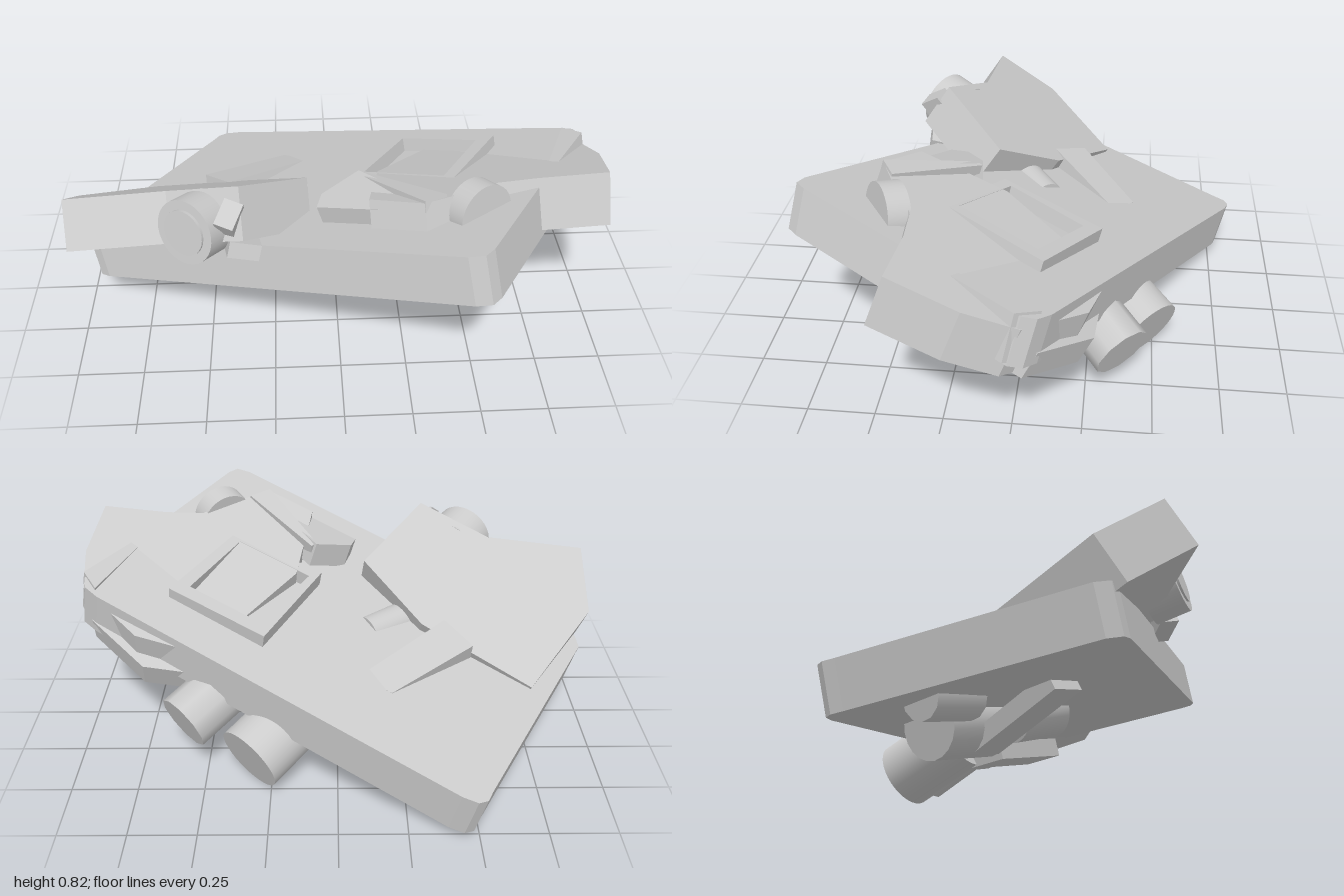
import * as THREE from 'three';

const material = new THREE.MeshStandardMaterial({ color: 0xcccccc, side: THREE.DoubleSide });
const slabNormal = new THREE.Vector3(-0.19, 1, -0.248).normalize();

export function createModel() {
  const model = new THREE.Group();

  const add = (name, geometry) => {
    const mesh = new THREE.Mesh(geometry, material);
    mesh.name = name;
    model.add(mesh);
    return mesh;
  };

  const trace = (path, points) => path.setFromPoints(points.map(([x, z]) => new THREE.Vector2(x, -z)));

  // Plate with an [x, z] outline, top on y = a*x + b*z + c, thickened along its normal
  function plate(name, outline, [a, b, c], thickness, hole) {
    const shape = trace(new THREE.Shape(), outline);
    if (hole) shape.holes.push(trace(new THREE.Path(), hole));
    const geometry = new THREE.ExtrudeGeometry(shape, { depth: thickness, bevelEnabled: false });
    geometry.rotateX(-Math.PI / 2);
    const normal = new THREE.Vector3(-a, 1, -b).normalize();
    const p = geometry.attributes.position;
    const v = new THREE.Vector3();
    for (let i = 0; i < p.count; i++) {
      const depth = p.getY(i) - thickness;
      v.set(p.getX(i), a * p.getX(i) + b * p.getZ(i) + c, p.getZ(i)).addScaledVector(normal, depth);
      p.setXYZ(i, v.x, v.y, v.z);
    }
    geometry.computeVertexNormals();
    add(name, geometry);
  }

  // Cylinder between two points
  function rod(name, from, to, radius, sides = 32) {
    const start = new THREE.Vector3(...from);
    const axis = new THREE.Vector3(...to).sub(start);
    const mesh = add(name, new THREE.CylinderGeometry(radius, radius, axis.length(), sides));
    mesh.position.copy(start).addScaledVector(axis, 0.5);
    mesh.quaternion.setFromUnitVectors(new THREE.Vector3(0, 1, 0), axis.normalize());
  }

  // Box beam between two points, lying flat against the slab
  function beam(name, from, to, width, height) {
    const start = new THREE.Vector3(...from);
    const end = new THREE.Vector3(...to);
    const mesh = add(name, new THREE.BoxGeometry(width, height, start.distanceTo(end)));
    mesh.position.copy(start).lerp(end, 0.5);
    mesh.up.copy(slabNormal);
    mesh.lookAt(end);
  }

  // Tilted main slab with softened corners
  plate('mainSlab', [
    [-0.53, -0.77], [-0.51, -0.81], [-0.475, -0.825], [-0.42, -0.81], [0.9, -0.15], [0.95, -0.11],
    [0.96, -0.06], [0.475, 0.745], [0.44, 0.78], [0.385, 0.77], [-0.94, 0.09], [-0.975, 0.06], [-0.98, 0.0],
  ], [0.19, 0.248, 0.51], 0.182);

  // Wings crossing the slab
  plate('rightWing', [
    [-1, 0], [-1, 0.24], [-0.62, 0.26], [-0.35, 0.38], [-0.11, 0.14], [-0.33, -0.08], [-0.74, -0.28],
  ], [0.07, 0.68, 0.557], 0.19);
  plate('leftWing', [
    [0.5, -0.32], [0.75, -0.26], [0.97, -0.06], [0.99, 0.12], [0.95, 0.36], [0.7, 0.35], [0.55, 0.36],
    [0.38, 0.46], [0.28, 0.51], [0.1, 0.41], [0.16, 0.08],
  ], [0.081, 0.378, 0.577], 0.195);
  plate('leftWingKeel', [[0.45, -0.3], [0.73, -0.28], [0.94, -0.11], [0.9, 0.08], [0.5, 0]],
    [0.081, 0.5, 0.497], 0.115);

  // Raised details on top
  plate('rimFrame', [[0.27, -0.285], [0.635, -0.1], [0.41, 0.27], [0.06, 0.1]],
    [0.153, 0.25, 0.579], 0.1,
    [[0.29, -0.215], [0.56, -0.075], [0.39, 0.22], [0.11, 0.07]]);
  plate('frontPanel', [[0.08, 0.18], [-0.06, 0.26], [-0.08, 0.33], [0.27, 0.51], [0.3, 0.47]],
    [0.31, 0, 0.675], 0.1);
  plate('frontPanelRail', [[0.1, 0.18], [0.08, 0.2], [0.28, 0.51], [0.36, 0.46]],
    [0.06, 0.3, 0.632], 0.06);
  plate('rightFin', [[-0.52, -0.18], [-0.42, -0.06], [-0.08, -0.33], [-0.2, -0.4]],
    [0.036, 0.35, 0.522], 0.09);
  plate('leftFin', [[0.91, -0.12], [0.965, -0.04], [0.78, 0.24], [0.765, 0.22]],
    [0.198, 0.215, 0.51], 0.18);
  rod('hingePin', [-0.28, 0.43, 0.06], [-0.12, 0.42, -0.05], 0.068);

  // Front rollers and mounting block
  rod('rightFrontRoller', [-0.47, 0.61, 0.33], [-0.545, 0.638, 0.435], 0.12);
  rod('rightFrontRollerHub', [-0.52, 0.63, 0.4], [-0.55, 0.64, 0.443], 0.085);
  rod('leftFrontRoller', [0.455, 0.7, 0.42], [0.5, 0.715, 0.49], 0.113);
  const block = add('rollerBlock', new THREE.BoxGeometry(0.07, 0.18, 0.1));
  block.position.set(-0.385, 0.655, 0.405);
  block.rotation.set(0.6, -0.4, 0);
  beam('rollerTab', [-0.4, 0.57, 0.43], [-0.29, 0.54, 0.42], 0.08, 0.06);

  // Rollers and beams underneath
  rod('leftInnerRoller', [0.12, 0.24, -0.27], [0.33, 0.135, -0.48], 0.133);
  rod('leftOuterRoller', [0.36, 0.34, -0.18], [0.58, 0.23, -0.38], 0.112, 10);
  rod('rightInnerRoller', [-0.04, 0.23, -0.2], [-0.22, 0.13, -0.43], 0.128, 20);
  rod('rightOuterRoller', [-0.34, 0.2, -0.3], [-0.49, 0.12, -0.48], 0.085, 12);
  rod('centreHub', [0.1, 0.37, 0.08], [0, 0.29, -0.1], 0.11);
  beam('leftLowerBeam', [0.4, 0.305, 0.1], [0.08, 0.15, -0.19], 0.16, 0.075);
  beam('rightLowerBeam', [-0.46, 0.235, 0.02], [-0.08, 0.12, -0.22], 0.15, 0.07);

  return model;
}
